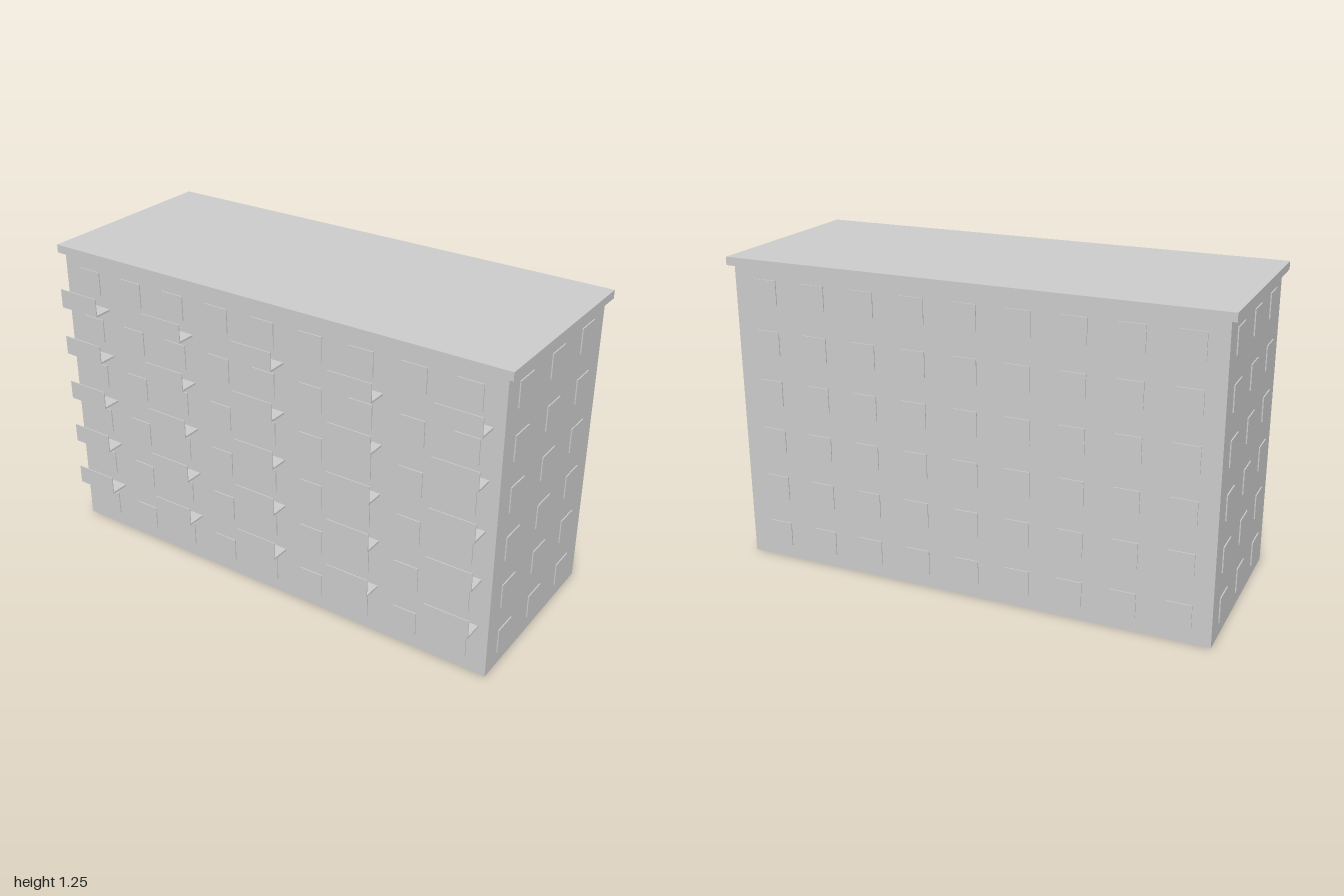
import * as THREE from 'three';

export function createModel() {
  const model = new THREE.Group();
  model.name = 'apartmentBlock';
  const grey = new THREE.MeshStandardMaterial({ color: 0xcccccc, flatShading: true });
  const thin = new THREE.MeshStandardMaterial({ color: 0xcccccc, flatShading: true, side: THREE.DoubleSide });

  const halfW = 0.977, front = 0.358, back = -0.412;
  const depth = front - back, midZ = (front + back) / 2;
  const storeys = 6, wallH = 1.222, storeyH = wallH / storeys;

  const group = (name) => {
    const g = new THREE.Group();
    g.name = name;
    model.add(g);
    return g;
  };
  const box = (parent, name, w, h, d, x, y, z) => {
    const m = new THREE.Mesh(new THREE.BoxGeometry(w, h, d), grey);
    m.name = name;
    m.position.set(x, y, z);
    parent.add(m);
  };

  // Outer walls: thin shell, open at the bottom
  const walls = group('walls');
  const wall = (name, w, x, z, turn) => {
    const m = new THREE.Mesh(new THREE.PlaneGeometry(w, wallH), thin);
    m.name = name;
    m.position.set(x, wallH / 2, z);
    m.rotation.y = turn;
    walls.add(m);
  };
  wall('frontWall', halfW * 2, 0, front, 0);
  wall('backWall', halfW * 2, 0, back, Math.PI);
  wall('leftWall', depth, halfW, midZ, Math.PI / 2);
  wall('rightWall', depth, -halfW, midZ, -Math.PI / 2);

  // Floors between the storeys
  const floors = group('floors');
  for (let s = 1; s < storeys; s++) {
    box(floors, 'floor', halfW * 2 - 0.002, 0.008, depth - 0.002, 0, s * storeyH + 0.004, midZ);
  }

  // Roof slab with a small overhang
  box(model, 'roof', 2, 0.033, 0.81, 0, 1.2385, -0.028);

  // Window panels set into all four walls
  const windows = group('windows');
  const size = 0.1, panel = 0.009;
  const pitchX = 0.2118, columnX = (i) => -0.004 + (i - 4) * pitchX;
  for (let s = 0; s < storeys; s++) {
    const y = s * storeyH + 0.107;
    for (let i = 0; i < 9; i++) {
      for (const z of [front, back]) box(windows, 'window', size, size, panel, columnX(i), y, z);
    }
    for (let i = -1; i <= 1; i++) {
      for (const x of [halfW, -halfW]) box(windows, 'sideWindow', panel, size, size, x, y, -0.023 + i * 0.2475);
    }
  }

  // Balconies on the front, at every second window above the ground storey
  const balconies = group('balconies');
  for (let s = 1; s < storeys; s++) {
    const y = s * storeyH;
    for (let i = 0; i < 9; i += 2) {
      box(balconies, 'balconySlab', 0.183, 0.008, 0.077, columnX(i), y + 0.006, front + 0.0385);
      box(balconies, 'balconyFront', 0.183, 0.077, 0.004, columnX(i), y + 0.0405, front + 0.075);
    }
  }
  return model;
}
